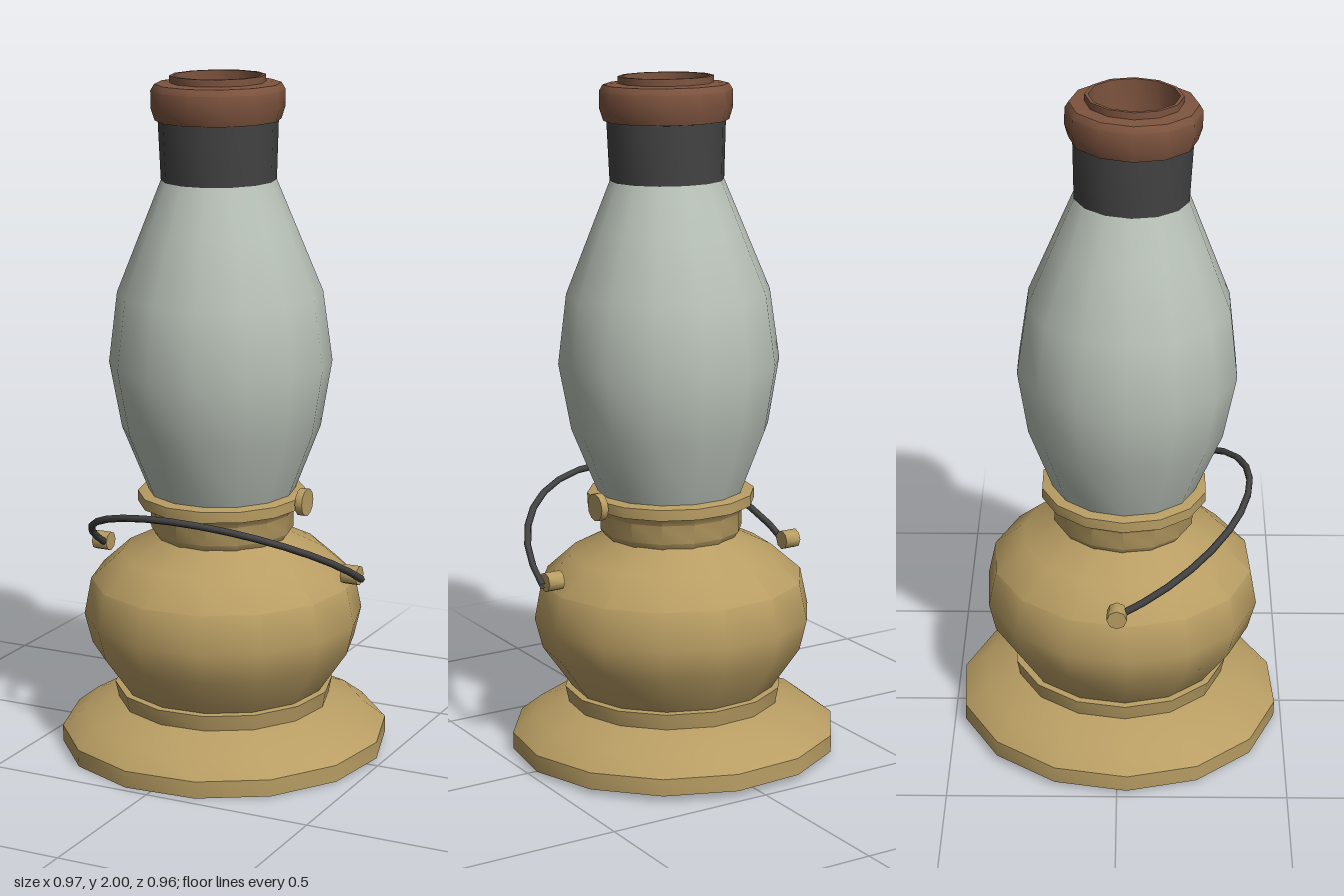
import * as THREE from 'three';
import { toCreasedNormals } from 'three/addons/utils/BufferGeometryUtils.js';

export function createModel() {
  const mat = (name, color) => {
    const m = new THREE.MeshStandardMaterial({ color, side: THREE.DoubleSide });
    m.name = name;
    return m;
  };
  const brass = mat('brass', 0xb89d63);
  const glass = mat('frosted glass', 0xb9c2b8);
  const iron = mat('dark iron', 0x434343);
  const copper = mat('copper', 0x7e543f);

  const model = new THREE.Group();
  model.name = 'oilLamp';
  const add = (parent, name, geo, material, x = 0, y = 0, z = 0) => {
    const mesh = new THREE.Mesh(geo, material);
    mesh.name = name;
    mesh.position.set(x, y, z);
    parent.add(mesh);
    return mesh;
  };
  const lathe = (points, sides, start) => toCreasedNormals(
    new THREE.LatheGeometry(points.map(([r, y]) => new THREE.Vector2(r, y)), sides, start), 0.65);

  // Turned body, leaning very slightly forward
  const body = new THREE.Group();
  body.name = 'body';
  body.position.y = 0.011;
  body.rotation.x = 0.022;
  model.add(body);

  add(body, 'foot', lathe([[0, 0], [0.485, 0], [0.485, 0.05], [0.42, 0.1], [0.315, 0.137],
    [0.325, 0.185], [0.3, 0.187]], 14, 0.285), brass);
  add(body, 'oilFont', lathe([[0.3, 0.18], [0.39, 0.31], [0.412, 0.4], [0.39, 0.51],
    [0.3, 0.59], [0.2, 0.64], [0.18, 0.66]], 14, 0.285), brass);
  add(body, 'burnerCollar', lathe([[0.18, 0.62], [0.21, 0.66], [0.21, 0.715], [0.225, 0.735],
    [0.247, 0.74], [0.247, 0.772], [0.22, 0.778], [0, 0.778]], 14, 0.2244), brass);
  add(body, 'glassChimney', lathe([[0.215, 0.775], [0.29, 0.965], [0.324, 1.16], [0.297, 1.365],
    [0.222, 1.55], [0.165, 1.69]], 14, 0.2244), glass);
  add(body, 'chimneyNeck', lathe([[0.165, 1.68], [0.172, 1.87]], 14, 0.2244), iron);
  add(body, 'chimneyCap', lathe([[0.165, 1.858], [0.18, 1.86], [0.191, 1.895], [0.191, 1.945],
    [0.18, 1.963], [0.137, 1.966], [0.137, 1.986], [0.127, 1.986], [0.127, 1.87]], 12, 0), copper);

  // Burner inside the chimney
  add(model, 'burnerDome', lathe([[0.1, 0.78], [0.095, 0.84], [0.05, 0.88], [0, 0.89]], 12, 0), brass);
  add(model, 'wickHolder', new THREE.BoxGeometry(0.086, 0.05, 0.024), iron, 0, 0.9, 0);
  const wick = add(model, 'wickTip', new THREE.OctahedronGeometry(0.036), brass, 0, 0.94, 0);
  wick.scale.z = 0.65;

  // Wick knob on the model's left
  const rod = (r, len, sides) => toCreasedNormals(
    new THREE.CylinderGeometry(r, r, len, sides).rotateZ(Math.PI / 2), 0.9);
  add(model, 'wickKnob', rod(0.041, 0.022, 12), brass, 0.257, 0.771, 0);
  add(model, 'knobShaft', rod(0.012, 0.08, 8), brass, 0.21, 0.771, 0);

  // Swing handle resting forward, with a pivot at each end
  const arc = [];
  for (let i = 0; i <= 12; i++) {
    const a = Math.PI * i / 12;
    arc.push(new THREE.Vector3(0.022 - 0.42 * Math.cos(a), 0.562 + 0.217 * Math.sin(a), 0.39 * Math.sin(a)));
  }
  add(model, 'swingHandle',
    new THREE.TubeGeometry(new THREE.CatmullRomCurve3(arc), 16, 0.0105, 6), iron);
  for (const side of [-1, 1]) {
    add(model, 'handlePivot', rod(0.029, 0.05, 8), brass, side * 0.41, 0.572, 0);
  }
  return model;
}
